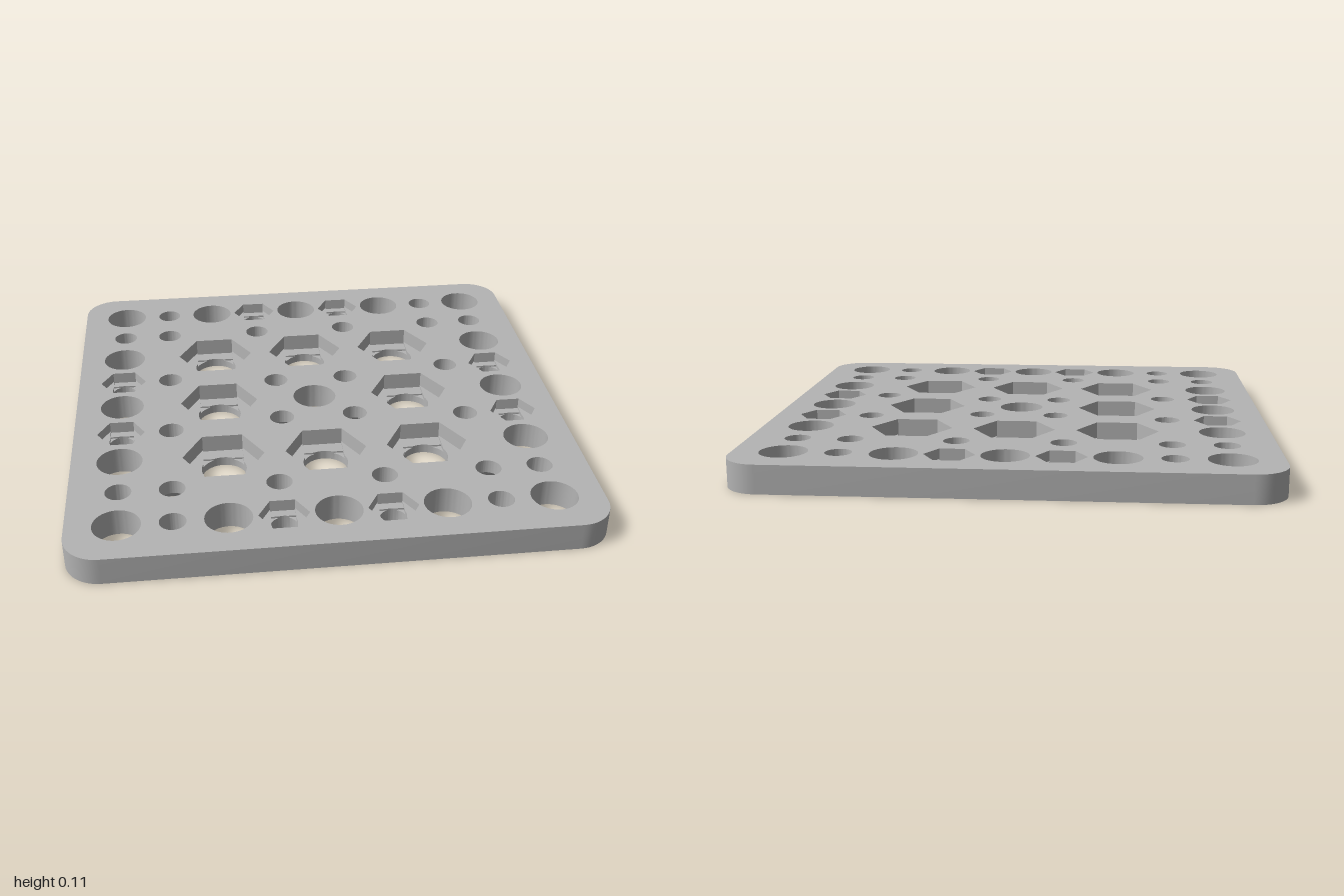
import * as THREE from 'three';
import { mergeGeometries, toCreasedNormals } from 'three/addons/utils/BufferGeometryUtils.js';

const H = 0.108, CORNER = 0.135, PITCH = 0.2027, N = 72;
const BIG = 0.089, SMALL = 0.05;

// Hole outlines as a radius for each angle
const circle = r => () => r;
const hexagon = R => t => {
  const k = Math.PI / 3;
  const a = ((t % k) + k) % k - k / 2;
  return R * Math.cos(k / 2) / Math.cos(a);
};
const rectangle = (w, d) => t => Math.min(w / Math.max(Math.abs(Math.cos(t)), 1e-6), d / Math.max(Math.abs(Math.sin(t)), 1e-6));
const union = (f, g) => t => Math.max(f(t), g(t));

// Hole profiles: [outline, height] levels from the top face to the bottom face
const plain = r => [[circle(r), H], [circle(r), 0]];
const countersunk = [[circle(SMALL), H], [circle(SMALL), 0.052], [circle(0.102), 0]];
function nutPocket(r, R, depth) {
  const step = 0.007, y1 = H - depth, y2 = y1 - step, y3 = y2 - step;
  const hex = hexagon(R), c = circle(r);
  const slot = union(rectangle(R / 2, R * Math.sqrt(3) / 2), c);
  const square = union(rectangle(R / 2, R / 2), c);
  return [[hex, H], [hex, y1], [slot, y1], [slot, y2], [square, y2], [square, y3], [c, y3], [c, 0]];
}

// Outline points around a hole centre, in plan
function outline(f, x, z) {
  return Array.from({ length: N }, (_, i) => {
    const t = i / N * Math.PI * 2, r = f(t);
    return new THREE.Vector2(x + r * Math.cos(t), z + r * Math.sin(t));
  });
}

// Skin between successive closed rings {pts, y}
function loft(rings) {
  const pos = [];
  for (let k = 0; k + 1 < rings.length; k++) {
    const A = rings[k], B = rings[k + 1], n = A.pts.length;
    for (let i = 0; i < n; i++) {
      const j = (i + 1) % n;
      const a = [A.pts[i].x, A.y, A.pts[i].y], b = [A.pts[j].x, A.y, A.pts[j].y];
      const c = [B.pts[i].x, B.y, B.pts[i].y], d = [B.pts[j].x, B.y, B.pts[j].y];
      pos.push(...a, ...c, ...b, ...b, ...c, ...d);
    }
  }
  const g = new THREE.BufferGeometry();
  g.setAttribute('position', new THREE.Float32BufferAttribute(pos, 3));
  return toCreasedNormals(g, 0.5);
}

// Positions of every hole by kind
function layOut() {
  const holes = [];
  const add = (name, levels, x, z) => holes.push({ name, levels, x, z });
  const bigNut = nutPocket(BIG, 0.161, 0.064), smallNut = nutPocket(SMALL, 0.095, 0.04);
  for (let i = -4; i <= 4; i++) for (let j = -4; j <= 4; j++) {
    const x = i * PITCH, z = j * PITCH;
    const hi = Math.max(Math.abs(i), Math.abs(j)), lo = Math.min(Math.abs(i), Math.abs(j));
    if (i % 2 === 0 && j % 2 === 0) {
      if (hi === 2) add('largeNutPockets', bigNut, x, z);
      else add('largeHoles', plain(BIG), x, z);
    } else if (lo === 1 && hi === 4) add('smallNutPockets', smallNut, x, z);
    else if (lo === 3 && hi === 3) add('countersunkHoles', countersunk, x, z);
    else if ((lo === 3 && hi === 4) || (lo === 1 && hi === 3)) add('smallHoles', plain(SMALL), x, z);
  }
  for (const sx of [-1, 1]) for (const sz of [-1, 1]) add('countersunkHoles', countersunk, sx * 0.152, sz * 0.152);
  return holes;
}

export function createModel() {
  const group = new THREE.Group();
  group.name = 'mountingPlate';
  const grey = new THREE.MeshStandardMaterial({ color: 0xb4b4b4 });
  grey.name = 'plate grey';
  const addMesh = (name, geometry) => {
    const m = new THREE.Mesh(geometry, grey);
    m.name = name;
    group.add(m);
  };

  // Rounded square outline
  const rim = [];
  for (let q = 0; q < 4; q++) for (let s = 0; s <= 12; s++) {
    const t = (q + s / 12) * Math.PI / 2, c = 1 - CORNER;
    rim.push(new THREE.Vector2(
      (q === 0 || q === 3 ? c : -c) + CORNER * Math.cos(t),
      (q < 2 ? c : -c) + CORNER * Math.sin(t)));
  }
  addMesh('outerEdge', loft([{ pts: rim, y: 0 }, { pts: rim, y: H }]));

  // Pierced top and bottom faces; plan y becomes -z on top and +z below
  const holes = layOut();
  const face = (top) => {
    const shape = new THREE.Shape(rim);
    const flip = top ? -1 : 1;
    for (const h of holes) {
      const f = h.levels[top ? 0 : h.levels.length - 1][0];
      shape.holes.push(new THREE.Path(outline(f, h.x, h.z * flip)));
    }
    return new THREE.ShapeGeometry(shape).rotateX(flip * Math.PI / 2).translate(0, top ? H : 0, 0);
  };
  addMesh('topFace', face(true));
  addMesh('bottomFace', face(false));

  // Hole walls, one mesh per kind
  for (const name of new Set(holes.map(h => h.name))) {
    const parts = holes.filter(h => h.name === name).map(h =>
      loft(h.levels.map(([f, y]) => ({ pts: outline(f, h.x, h.z), y }))));
    addMesh(name, mergeGeometries(parts));
  }
  return group;
}
